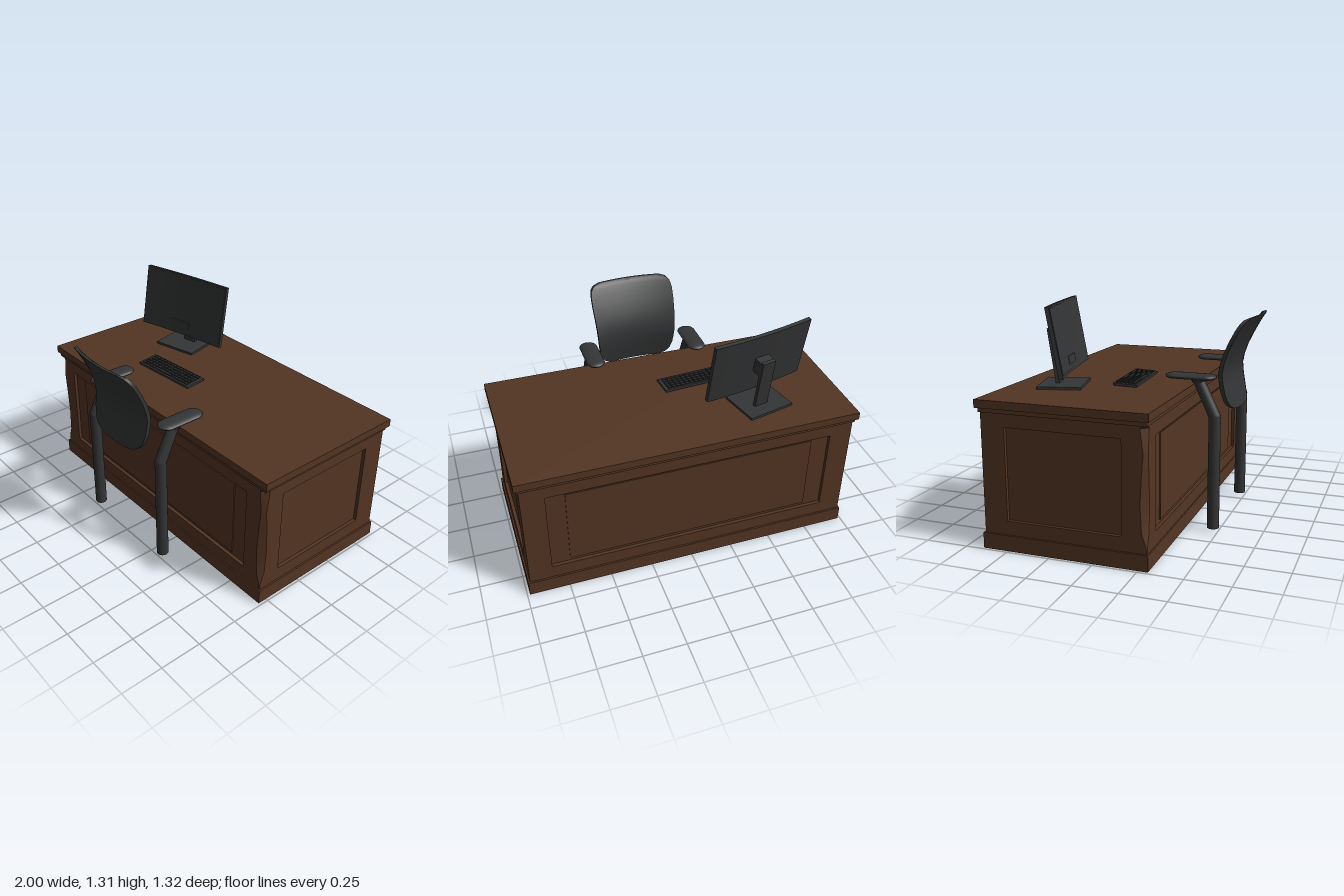
import * as THREE from 'three';
import { toCreasedNormals, mergeVertices } from 'three/addons/utils/BufferGeometryUtils.js';

const wood = new THREE.MeshStandardMaterial({ name: 'brown wood', color: 0x543523 });
const plastic = new THREE.MeshStandardMaterial({ name: 'charcoal plastic', color: 0x343536 });
const keyBlack = new THREE.MeshStandardMaterial({ name: 'key black', color: 0x2b2c2d });

function add(parent, name, geometry, material, x = 0, y = 0, z = 0) {
  const mesh = new THREE.Mesh(geometry, material);
  mesh.name = name;
  mesh.position.set(x, y, z);
  parent.add(mesh);
  return mesh;
}

// Box given by its limits on each axis
function span(parent, name, material, [x0, x1], [y0, y1], [z0, z1]) {
  return add(parent, name, new THREE.BoxGeometry(x1 - x0, y1 - y0, z1 - z0), material,
    (x0 + x1) / 2, (y0 + y1) / 2, (z0 + z1) / 2);
}

// Closed solid through rising cross-sections, each counter-clockwise from above
function loft(loops, crease = 0.6) {
  const pos = [], idx = [], n = loops[0].length;
  loops.forEach(l => l.forEach(p => pos.push(...p)));
  for (let i = 0; i < loops.length - 1; i++) {
    for (let j = 0; j < n; j++) {
      const a = i * n + j, b = i * n + (j + 1) % n;
      idx.push(a, b, b + n, a, b + n, a + n);
    }
  }
  [0, loops.length - 1].forEach((row, end) => {
    const c = pos.length / 3;
    pos.push(...[0, 1, 2].map(k => loops[row].reduce((s, p) => s + p[k], 0) / n));
    for (let j = 0; j < n; j++) {
      const a = row * n + j, b = row * n + (j + 1) % n;
      idx.push(c, end ? a : b, end ? b : a);
    }
  });
  const g = new THREE.BufferGeometry();
  g.setAttribute('position', new THREE.Float32BufferAttribute(pos, 3));
  g.setIndex(idx);
  return toCreasedNormals(g, crease);
}

// Rectangular frame with a rectangular hole, extruded towards +z
function frame(x0, x1, y0, y1, hx0, hx1, hy0, hy1, depth) {
  const rect = (C, a, b, c, d) => {
    const s = new C();
    s.moveTo(a, c); s.lineTo(b, c); s.lineTo(b, d); s.lineTo(a, d); s.closePath();
    return s;
  };
  const shape = rect(THREE.Shape, x0, x1, y0, y1);
  shape.holes.push(rect(THREE.Path, hx0, hx1, hy0, hy1));
  return new THREE.ExtrudeGeometry(shape, { depth, bevelEnabled: false });
}

// Cylinder between two points
function rod(parent, name, a, b, ra, rb) {
  const dir = b.clone().sub(a);
  const m = add(parent, name, new THREE.CylinderGeometry(rb, ra, dir.length(), 20), plastic);
  m.position.copy(a).add(b).multiplyScalar(0.5);
  m.quaternion.setFromUnitVectors(new THREE.Vector3(0, 1, 0), dir.normalize());
}

function buildDesk() {
  const desk = new THREE.Group();
  desk.name = 'desk';
  span(desk, 'deskTop', wood, [-1, 1], [0.79, 0.835], [-0.66, 0.315]);
  span(desk, 'deskCore', wood, [-0.955, 0.955], [0, 0.79], [-0.618, 0.278]);
  span(desk, 'baseBoard', wood, [-0.985, 0.985], [0, 0.09], [-0.648, 0.305]);
  span(desk, 'topMoulding', wood, [-0.985, 0.985], [0.765, 0.79], [-0.645, 0.303]);

  // Framed panels on all four sides
  add(desk, 'frontFrame', frame(-0.92, 0.92, 0.09, 0.77, -0.84, 0.84, 0.17, 0.69, 0.02), wood, 0, 0, 0.278);
  span(desk, 'frontPanel', wood, [-0.73, 0.73], [0.19, 0.67], [0.278, 0.284]);
  add(desk, 'backFrame', frame(-0.975, 0.975, 0.09, 0.77, -0.84, 0.84, 0.17, 0.69, 0.02), wood, 0, 0, -0.638);
  span(desk, 'backPanel', wood, [-0.73, 0.73], [0.19, 0.67], [-0.624, -0.618]);
  for (const s of [1, -1]) {
    const side = frame(-0.24, 0.638, 0.09, 0.77, -0.16, 0.5, 0.17, 0.69, 0.02);
    side.rotateY(Math.PI / 2);
    add(desk, 'sideFrame', side, wood, s > 0 ? 0.955 : -0.975, 0, 0);

    // Front corner posts with a carved, hollowed edge
    const rows = [[0.09, 0.002], [0.13, 0.006], [0.2, 0.03], [0.35, 0.038], [0.5, 0.03],
      [0.62, 0.02], [0.7, 0.03], [0.75, 0.036], [0.77, 0.015]];
    const loops = rows.map(([y, c]) => {
      const p = [[0.92, y, 0.298], [0.975 - c, y, 0.298], [0.975, y, 0.298 - c], [0.975, y, 0.24], [0.92, y, 0.24]];
      return s > 0 ? p : p.map(([x, h, z]) => [-x, h, z]).reverse();
    });
    add(desk, 'cornerPost', loft(loops), wood);
  }
  return desk;
}

function buildMonitor() {
  const monitor = new THREE.Group();
  monitor.name = 'monitor';

  // Gently curved panel, turned and tilted back
  const head = new THREE.Group();
  head.name = 'monitorHead';
  head.position.set(-0.48, 1.115, -0.362);
  head.rotation.set(-0.175, 0.21, 0, 'YXZ');
  const curved = (w, h, d) => {
    const g = new THREE.BoxGeometry(w, h, d, 14, 1, 1);
    const p = g.attributes.position;
    for (let i = 0; i < p.count; i++) p.setZ(i, p.getZ(i) + 0.13 * p.getX(i) ** 2);
    return toCreasedNormals(g, 0.5);
  };
  add(head, 'monitorShell', curved(0.64, 0.39, 0.024), plastic, 0, 0, -0.005);
  add(head, 'screen', curved(0.62, 0.365, 0.004), plastic, 0, 0.003, 0.007);
  add(head, 'controlPlate', new THREE.BoxGeometry(0.15, 0.045, 0.006), plastic, -0.02, -0.13, 0.009);
  add(head, 'standMount', new THREE.BoxGeometry(0.09, 0.09, 0.06), plastic, 0, 0, -0.045);
  monitor.add(head);

  // Stand
  const plate = add(monitor, 'standBase', new THREE.BoxGeometry(0.29, 0.014, 0.25), plastic, -0.495, 0.842, -0.378);
  plate.rotation.y = 0.23;
  const post = add(monitor, 'standPost', new THREE.BoxGeometry(0.085, 0.32, 0.022), plastic, -0.49, 1.0, -0.432);
  post.rotation.set(-0.14, 0.21, 0, 'YXZ');
  return monitor;
}

function buildKeyboard() {
  const board = new THREE.Group();
  board.name = 'keyboard';
  board.position.set(-0.226, 0.846, -0.042);
  board.rotation.set(0.05, 0.07, 0, 'YXZ');
  add(board, 'keyboardBody', new THREE.BoxGeometry(0.445, 0.014, 0.138), plastic);
  for (let r = 0; r < 5; r++) {
    for (let c = 0; c < 14; c++) {
      if (r === 4 && c > 3 && c < 9) continue;
      add(board, 'key', new THREE.BoxGeometry(0.023, 0.008, 0.018), keyBlack,
        (c - 6.5) * 0.0295, 0.01, (r - 2) * 0.024);
    }
  }
  add(board, 'spaceKey', new THREE.BoxGeometry(0.14, 0.008, 0.018), keyBlack, -0.0148, 0.01, 0.048);
  return board;
}

function buildChair() {
  const chair = new THREE.Group();
  chair.name = 'chair';

  // Backrest: height, half width and rear depth of each section
  const rows = [[0.69, 0.11, 0.556], [0.7, 0.17, 0.553], [0.72, 0.205, 0.549], [0.75, 0.23, 0.543],
    [0.8, 0.245, 0.534], [0.85, 0.25, 0.526], [0.905, 0.255, 0.522], [0.96, 0.258, 0.532],
    [1.03, 0.262, 0.556], [1.1, 0.266, 0.59], [1.16, 0.266, 0.622], [1.195, 0.258, 0.643],
    [1.213, 0.24, 0.655], [1.224, 0.2, 0.66]];
  const N = 14;
  const loops = rows.map(([y, w, z], i) => {
    const t = i === 0 || i === rows.length - 1 ? 0.012 : 0.024;
    const at = (k, off) => {
      const x = (k / N * 2 - 1) * w;
      return [x - 0.015, y, z - 0.5 * x * x - off];
    };
    const loop = [];
    for (let k = 0; k <= N; k++) loop.push(at(k, 0));
    for (let k = N; k >= 0; k--) loop.push(at(k, t));
    return loop;
  });
  add(chair, 'backrest', loft(loops, 0.7), plastic);

  // Arm posts and pads
  for (const x of [0.322, -0.332]) {
    const v = (y, z) => new THREE.Vector3(x, y, z);
    rod(chair, 'armPost', v(0.02, 0.468), v(0.68, 0.468), 0.035, 0.034);
    add(chair, 'armJoint', new THREE.SphereGeometry(0.034, 20, 12), plastic, x, 0.68, 0.468);
    rod(chair, 'armBrace', v(0.68, 0.468), v(0.885, 0.37), 0.034, 0.032);
    const pad = new THREE.CapsuleGeometry(0.056, 0.182, 8, 20);
    pad.rotateX(Math.PI / 2);
    pad.scale(1, 0.32, 1);
    add(chair, 'armPad', pad, plastic, x, 0.9, 0.327);
    add(chair, 'padBracket', new THREE.CylinderGeometry(0.046, 0.034, 0.025, 20), plastic, x, 0.88, 0.37);
  }
  return chair;
}

export function createModel() {
  const model = new THREE.Group();
  model.name = 'deskWithChair';
  model.add(buildDesk(), buildMonitor(), buildKeyboard(), buildChair());
  return model;
}
